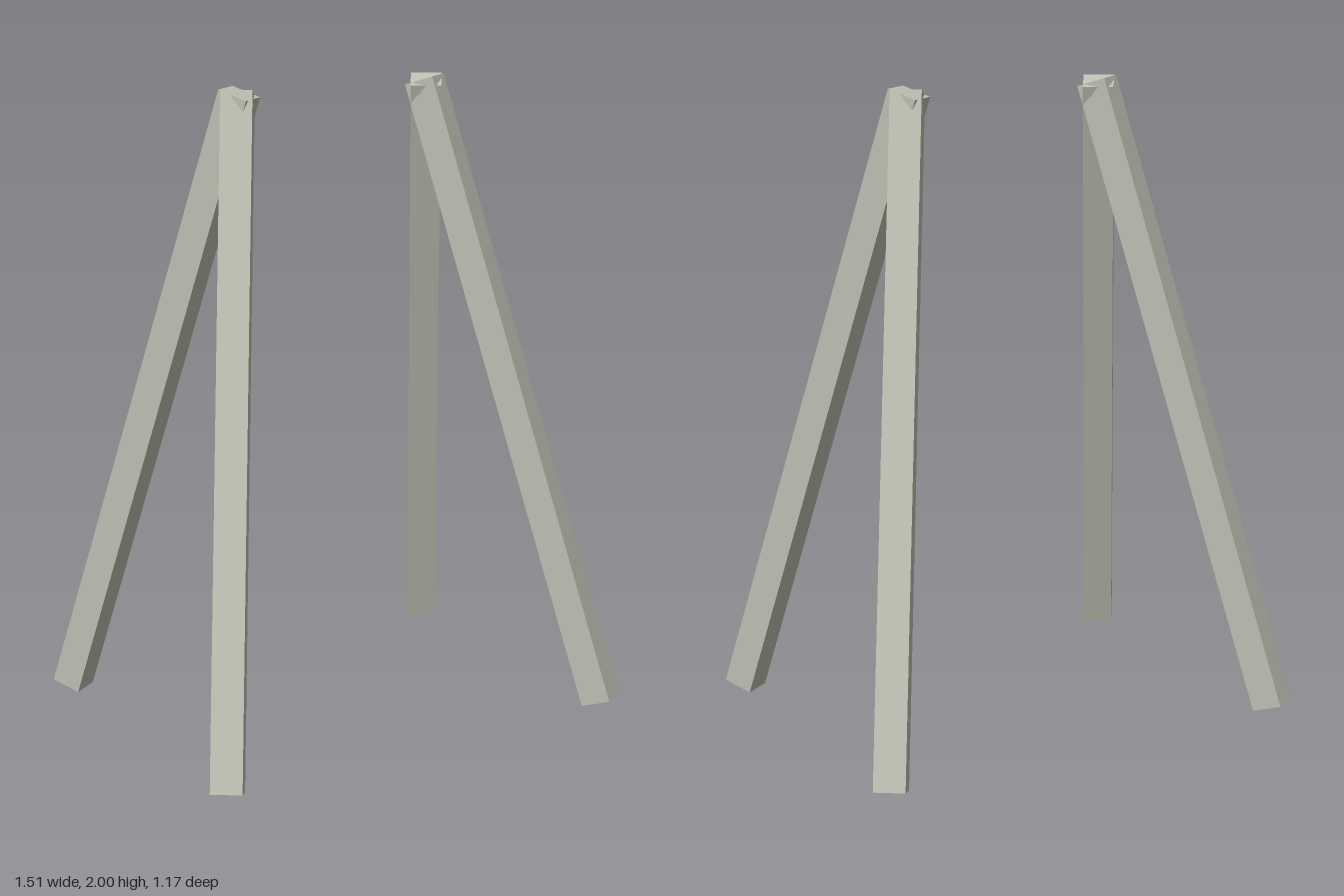
import * as THREE from 'three';

const paint = new THREE.MeshStandardMaterial({ color: 0xbcbfb1 });
paint.name = 'pale grey green';

const THICK = 0.096;

// One square-cut beam leaning in towards the top, in the quadrant (sx, sz)
function makeLeg(sx, sz) {
  const foot = new THREE.Vector3(sx * 0.69, 0.015, sz * 0.52);
  const head = new THREE.Vector3(sx * 0.335, 1.985, -sz * 0.005);
  const along = head.clone().sub(foot);
  const length = along.length();
  along.normalize();

  // outward face normal lies in the plane of the lean
  const side = new THREE.Vector3().crossVectors(along, new THREE.Vector3(sx * 0.355, 0, sz * 0.525)).normalize();
  const outward = new THREE.Vector3().crossVectors(side, along).normalize();

  const leg = new THREE.Group();
  const beam = new THREE.Mesh(new THREE.BoxGeometry(THICK, length, THICK), paint);
  beam.name = 'beam';
  leg.add(beam);

  // small pin through the top end, set towards the middle of the model
  const pin = new THREE.Mesh(new THREE.CylinderGeometry(0.006, 0.006, THICK + 0.003, 10), paint);
  pin.name = 'pin';
  pin.rotation.x = Math.PI / 2;
  pin.position.set(-Math.sign(side.x * sx) * 0.018, length / 2 - 0.028, 0);
  leg.add(pin);

  leg.quaternion.setFromRotationMatrix(new THREE.Matrix4().makeBasis(side, along, outward));
  leg.position.copy(foot).add(head).multiplyScalar(0.5);
  return leg;
}

export function createModel() {
  const model = new THREE.Group();
  model.name = 'trestleLegs';
  for (const sx of [-1, 1]) {
    for (const sz of [-1, 1]) {
      const leg = makeLeg(sx, sz);
      leg.name = (sz > 0 ? 'front' : 'back') + (sx > 0 ? 'Left' : 'Right') + 'Leg';
      model.add(leg);
    }
  }
  return model;
}
